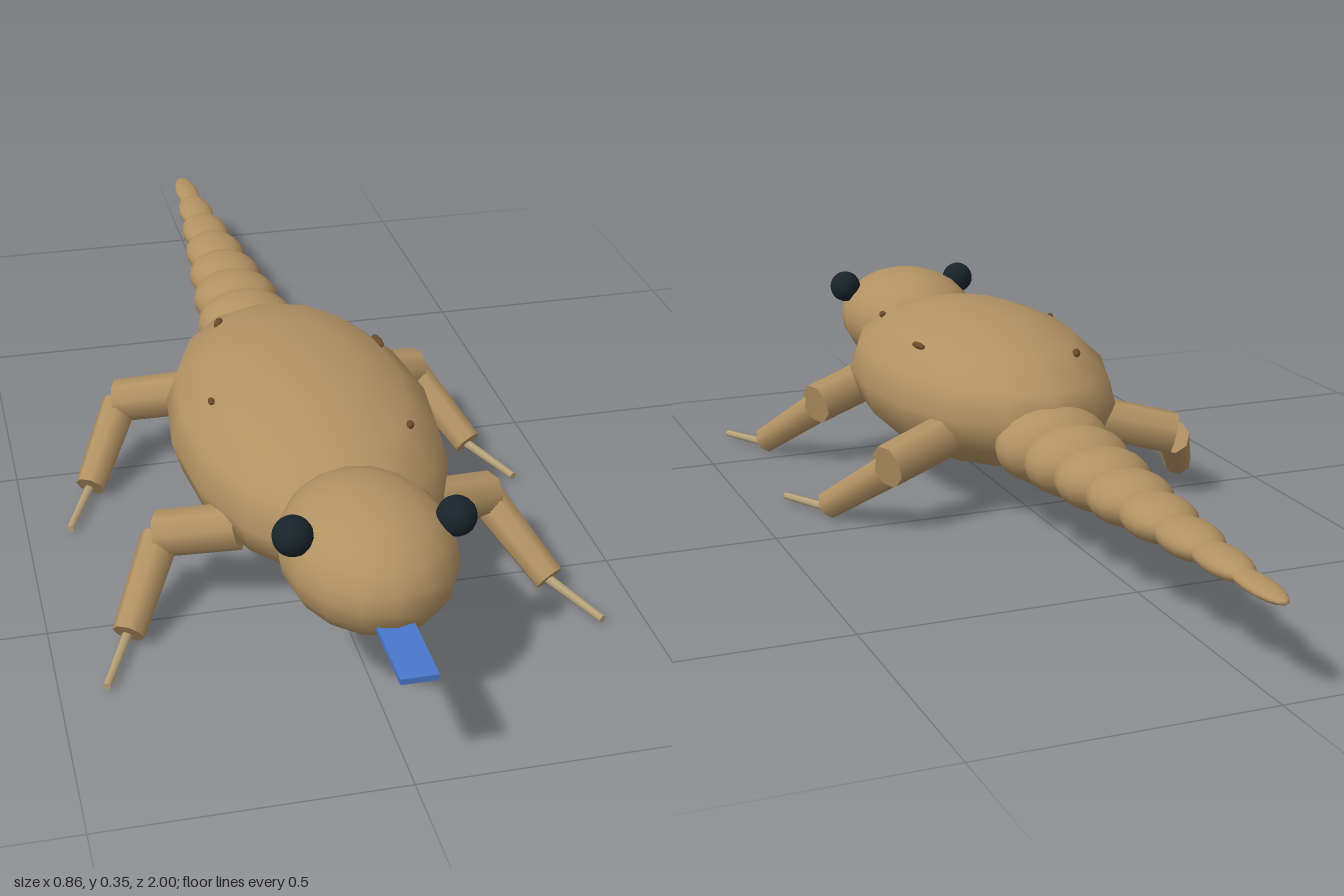
import * as THREE from 'three';

const mat = (color) => new THREE.MeshStandardMaterial({ color });

export function createModel() {
  const model = new THREE.Group();
  const skin = mat(0xb29263);
  const eyeMat = mat(0x18242a);
  const tongueMat = mat(0x4a78cc);
  const toeMat = mat(0xb8a47c);
  const spotMat = mat(0x6b4a2c);

  const add = (name, geo, material, parent = model) => {
    const mesh = new THREE.Mesh(geo, material);
    mesh.name = name;
    parent.add(mesh);
    return mesh;
  };
  const ellipsoid = (name, pos, radii, material, w = 16, h = 12) => {
    const mesh = add(name, new THREE.SphereGeometry(1, w, h), material);
    mesh.position.set(...pos);
    mesh.scale.set(...radii);
    return mesh;
  };
  // tapered rod between two points
  const rod = (name, a, b, rStart, rEnd, sides, material, parent) => {
    const p = new THREE.Vector3(...a), q = new THREE.Vector3(...b);
    const dir = q.clone().sub(p);
    const mesh = add(name, new THREE.CylinderGeometry(rEnd, rStart, dir.length(), sides), material, parent);
    mesh.position.copy(p).add(q).multiplyScalar(0.5);
    mesh.quaternion.setFromUnitVectors(new THREE.Vector3(0, 1, 0), dir.normalize());
  };

  // body and head
  ellipsoid('body', [0, 0.202, 0.26], [0.24, 0.15, 0.42], skin, 16, 8);
  ellipsoid('head', [0, 0.235, 0.7], [0.144, 0.107, 0.184], skin);

  // eyes
  for (const s of [1, -1]) {
    ellipsoid(s > 0 ? 'leftEye' : 'rightEye', [s * 0.132, 0.304, 0.74], [0.033, 0.033, 0.033], eyeMat);
  }

  // tongue
  const tongue = add('tongue', new THREE.BoxGeometry(0.06, 0.01, 0.2), tongueMat);
  tongue.position.set(0, 0.202, 0.9);

  // overlapping tail segments, shrinking to the tip
  for (let i = 0; i < 8; i++) {
    const rx = 0.112 - 0.0124 * i;
    ellipsoid('tailSegment' + (i + 1), [0, 0.163, -0.13 - 0.112 * i], [rx, 0.074 - 0.0088 * i, 0.086], skin);
  }

  // four legs, mirrored and repeated along the body
  for (const [end, z] of [['front', 0.43], ['back', -0.04]]) {
    for (const s of [1, -1]) {
      const leg = new THREE.Group();
      leg.name = end + (s > 0 ? 'Left' : 'Right') + 'Leg';
      leg.position.z = z;
      model.add(leg);
      rod('upperLeg', [s * 0.165, 0.16, 0.05], [s * 0.295, 0.13, 0], 0.042, 0.041, 8, skin, leg);
      rod('lowerLeg', [s * 0.292, 0.122, 0], [s * 0.37, 0.026, 0.13], 0.034, 0.028, 8, skin, leg);
      rod('toe', [s * 0.365, 0.021, 0.11], [s * 0.424, 0.014, 0.248], 0.009, 0.007, 6, toeMat, leg);
    }
  }

  // small spots on the back: position, radii, turn
  const spots = [
    [[-0.105, 0.298, 0.005], [0.008, 0.008, 0.018], -0.4],
    [[0.165, 0.305, 0.15], [0.008, 0.006, 0.025], 0.1],
    [[-0.175, 0.303, 0.3], [0.006, 0.006, 0.01], 0],
    [[0.14, 0.302, 0.45], [0.007, 0.007, 0.01], -0.3],
  ];
  for (const [pos, radii, turn] of spots) {
    ellipsoid('spot', pos, radii, spotMat, 8, 6).rotation.y = turn;
  }
  return model;
}
